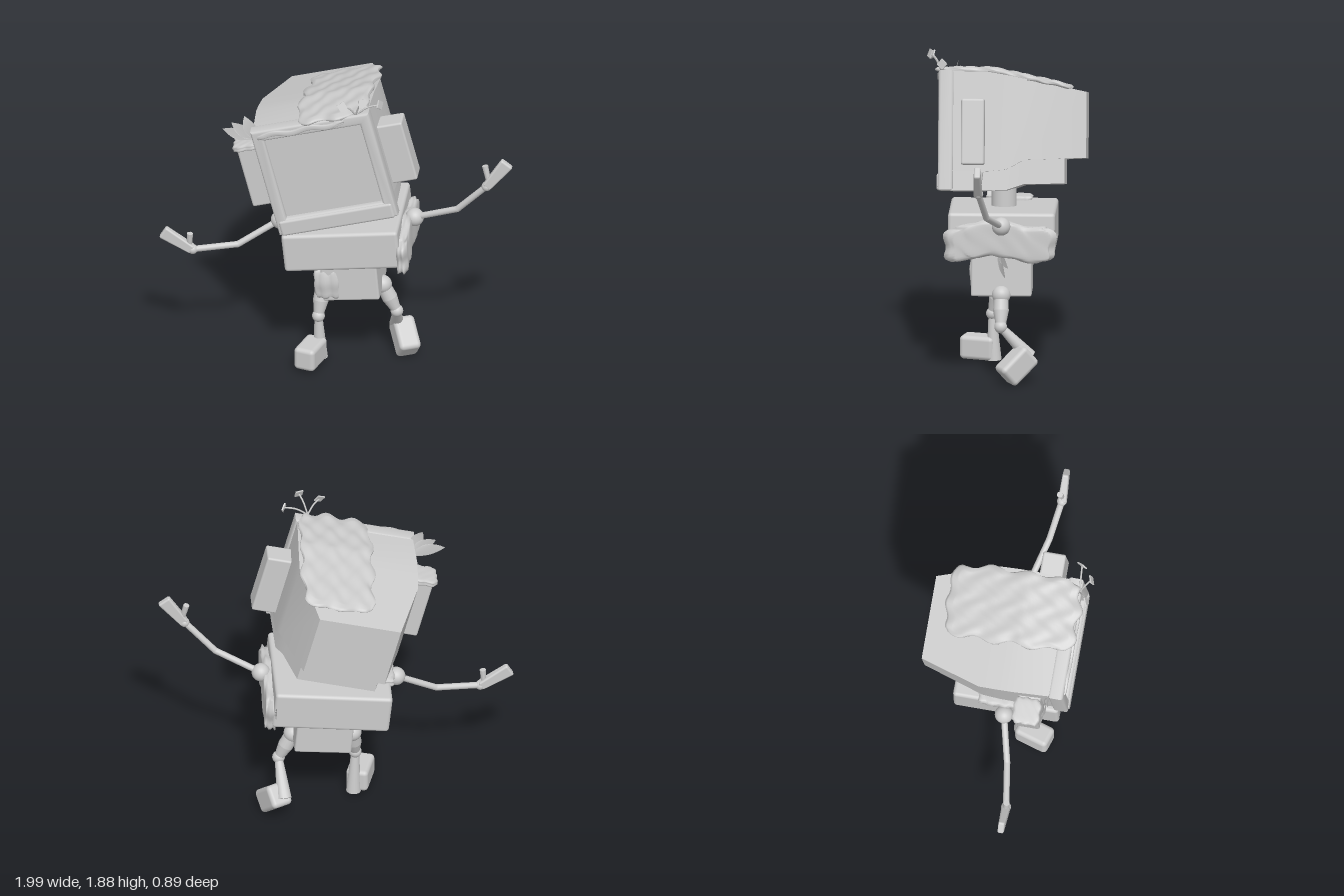
import * as THREE from 'three';
import { mergeVertices, toCreasedNormals } from 'three/addons/utils/BufferGeometryUtils.js';
import { RoundedBoxGeometry } from 'three/addons/geometries/RoundedBoxGeometry.js';

const mat = new THREE.MeshStandardMaterial({ color: 0xcccccc });
const thin = new THREE.MeshStandardMaterial({ color: 0xcccccc, side: THREE.DoubleSide });
const V = (a) => new THREE.Vector3(...a);

function add(parent, name, geo, pos = [0, 0, 0], rot = [0, 0, 0], material = mat) {
  const m = new THREE.Mesh(geo, material);
  m.name = name;
  m.position.set(...pos);
  m.rotation.set(...rot);
  parent.add(m);
  return m;
}

const block = (w, h, d, r = 0.02) => new RoundedBoxGeometry(w, h, d, 3, r);
const ball = (parent, name, pos, r) => add(parent, name, new THREE.SphereGeometry(r, 24, 16), pos);

// Tapered rod between two points
function rod(parent, name, a, b, ra, rb, sides = 16) {
  const A = V(a), B = V(b), dir = B.clone().sub(A);
  const m = add(parent, name, new THREE.CylinderGeometry(rb, ra, dir.length(), sides));
  m.position.copy(A).add(B).multiplyScalar(0.5);
  m.quaternion.setFromUnitVectors(new THREE.Vector3(0, 1, 0), dir.normalize());
  return m;
}

// Soft lumpy slab for moss; bend(v) may push the points afterwards
function mossGeometry(w, h, d, seed, bend, lump = 0.05) {
  const n = (s) => Math.max(6, Math.ceil(s / 0.018));
  let g = new THREE.BoxGeometry(2, 2, 2, n(w), n(h), n(d));
  g.deleteAttribute('uv');
  g.deleteAttribute('normal');
  g = mergeVertices(g);
  const p = g.attributes.position, v = new THREE.Vector3();
  for (let i = 0; i < p.count; i++) {
    v.fromBufferAttribute(p, i);
    const len = (v.x ** 6 + v.y ** 6 + v.z ** 6) ** (1 / 6);
    const k = 1 + lump * (Math.sin(v.x * 7 + v.z * 9 + seed) + Math.sin(v.y * 5 - v.z * 13 + seed * 2) * 0.6);
    v.multiplyScalar(k / len).multiply(new THREE.Vector3(w / 2, h / 2, d / 2));
    if (bend) bend(v);
    p.setXYZ(i, v.x, v.y, v.z);
  }
  g.computeVertexNormals();
  return g;
}

// Box swept along z through stations [z, halfWidth, bottom, top]
function loft(stations) {
  const n = stations.length - 1;
  const g = new THREE.BoxGeometry(2, 1, 1, 1, 1, n);
  const p = g.attributes.position;
  for (let i = 0; i < p.count; i++) {
    const [z, w, lo, hi] = stations[Math.round((0.5 - p.getZ(i)) * n)];
    p.setXYZ(i, p.getX(i) * w, p.getY(i) > 0 ? hi : lo, z);
  }
  return toCreasedNormals(g, 0.6);
}

// Pointed leaf growing along +y, slightly cupped
function leafGeometry(len, w) {
  const s = new THREE.Shape();
  s.quadraticCurveTo(w, len * 0.45, 0, len);
  s.quadraticCurveTo(-w, len * 0.45, 0, 0);
  const g = new THREE.ShapeGeometry(s, 10), p = g.attributes.position;
  for (let i = 0; i < p.count; i++) p.setZ(i, Math.abs(p.getX(i)) * 0.4);
  g.computeVertexNormals();
  return g;
}

function rectPath(path, x0, y0, x1, y1) {
  path.moveTo(x0, y0);
  path.lineTo(x1, y0);
  path.lineTo(x1, y1);
  path.lineTo(x0, y1);
  path.closePath();
  return path;
}

function buildHead() {
  const head = new THREE.Group();
  head.name = 'head';
  head.position.set(-0.04, 1.36, 0);
  head.rotation.z = 0.253;

  // Monitor shell and the recessed base beneath it
  add(head, 'headShell', loft([
    [0.31, 0.335, -0.235, 0.325], [0.1, 0.345, -0.235, 0.322], [0.0, 0.345, -0.225, 0.305],
    [-0.1, 0.343, -0.17, 0.285], [-0.445, 0.235, -0.155, 0.215]]));
  add(head, 'headBase', loft([
    [0.31, 0.32, -0.345, -0.1], [0.0, 0.315, -0.34, -0.1],
    [-0.1, 0.29, -0.305, -0.1], [-0.325, 0.225, -0.3, -0.1]]));

  // Screen frame
  const b = 0.015;
  const outline = rectPath(new THREE.Shape(), -0.345 + b, -0.34 + b, 0.345 - b, 0.33 - b);
  outline.holes.push(rectPath(new THREE.Path(), -0.28 - b, -0.24 - b, 0.28 + b, 0.265 + b));
  const frame = new THREE.ExtrudeGeometry(outline, {
    depth: 0.055, bevelEnabled: true, bevelSize: b, bevelThickness: b, bevelSegments: 3 });
  add(head, 'screenFrame', toCreasedNormals(frame, 0.6), [0, 0, 0.312]);
  add(head, 'frameLip', block(0.66, 0.095, 0.09, 0.015), [0, -0.296, 0.345]);
  add(head, 'screen', new THREE.BoxGeometry(0.58, 0.53, 0.04), [0, 0.01, 0.33]);

  // Side ears
  for (const s of [-1, 1]) add(head, 'ear', block(0.19, 0.37, 0.13, 0.012), [s * 0.385, -0.015, 0.185]);
  add(head, 'earMoss', mossGeometry(0.15, 0.04, 0.15, 2), [-0.425, 0.175, 0.185]);

  // Moss blanket draped over the roof
  const roof = (z) => z > 0.08 ? 0.326 : 0.326 - (0.08 - z) * 0.21;
  add(head, 'roofMoss', mossGeometry(0.41, 0.035, 0.74, 4, (v) => {
    const z = v.z + 0.015;
    v.x += 0.012 * Math.sin(z * 31);
    v.z = z + 0.012 * Math.sin(v.x * 40);
    v.y += roof(v.z) + 0.006 + 0.006 * Math.sin(v.x * 47) * Math.sin(z * 39);
  }, 0.02), [0.125, 0, 0]);
  add(head, 'frameMoss', mossGeometry(0.5, 0.03, 0.03, 1, (v) => {
    v.y += 0.008 * Math.sin(v.x * 30);
  }), [-0.06, 0.3, 0.38]);

  // Leaves on the upper corner
  [[0.16, 0.2], [0.17, 0.75], [0.2, 1.1]].forEach(([len, a], i) =>
    add(head, 'headLeaf', leafGeometry(len, 0.075), [-0.34, 0.24, 0.29 - i * 0.01], [0, 0, a], thin));
  return head;
}

// Sprouts with little square tips
function buildSprouts(parent) {
  [[0.07, 1.82, 0.42], [0.185, 1.855, 0.43], [0.275, 1.815, 0.36]].forEach((tip, i) => {
    const base = V([0.14, 1.75, 0.37]), end = V(tip);
    const mid = base.clone().lerp(end, 0.5).add(V([0, 0.015, 0]));
    add(parent, 'sproutStem', new THREE.TubeGeometry(new THREE.CatmullRomCurve3([base, mid, end]), 10, 0.005, 6));
    add(parent, 'sproutTip', new THREE.BoxGeometry(0.045, 0.045, 0.008), tip, [-0.4, [0.2, 0.3, 1.1][i], 0.6 - i * 0.45]);
  });
}

function buildArm(parent, shoulder, elbow, wrist, tip, thumbTip) {
  const arm = new THREE.Group();
  arm.name = 'arm';
  parent.add(arm);
  ball(arm, 'shoulder', shoulder, 0.052);
  rod(arm, 'upperArm', shoulder, elbow, 0.018, 0.018);
  ball(arm, 'elbow', elbow, 0.018);
  rod(arm, 'forearm', elbow, wrist, 0.018, 0.018);
  ball(arm, 'wrist', wrist, 0.028);
  // Mitten hand
  const W = V(wrist), dir = V(tip).sub(W), len = dir.length();
  const g = block(0.075, len, 0.05, 0.012), p = g.attributes.position;
  for (let i = 0; i < p.count; i++) {
    const t = p.getY(i) / len + 0.5;
    p.setX(i, p.getX(i) * (0.65 + 0.4 * t));
    p.setZ(i, p.getZ(i) * (1 - 0.3 * t) + 0.012 * Math.sin(t * 3));
  }
  const hand = add(arm, 'hand', g, W.clone().lerp(V(tip), 0.5).toArray());
  hand.rotation.z = Math.atan2(-dir.x, dir.y);
  rod(arm, 'thumb', W.clone().lerp(V(tip), 0.12).toArray(), thumbTip, 0.014, 0.018, 8);
}

function buildLeg(parent, hip, knee, ankle, footPos, footRot) {
  const leg = new THREE.Group();
  leg.name = 'leg';
  parent.add(leg);
  ball(leg, 'hip', hip, 0.052);
  const mid = V(hip).lerp(V(knee), 0.5).toArray();
  rod(leg, 'upperThigh', hip, mid, 0.04, 0.044);
  rod(leg, 'lowerThigh', mid, knee, 0.044, 0.026);
  ball(leg, 'knee', knee, 0.036);
  rod(leg, 'shin', knee, ankle, 0.022, 0.042);
  // Blocky boot
  add(leg, 'foot', block(0.125, 0.135, 0.2, 0.025), footPos, footRot).rotation.order = 'YXZ';
}

export function createModel() {
  const model = new THREE.Group();
  model.name = 'robot';
  model.add(buildHead());
  buildSprouts(model);
  rod(model, 'neck', [0.04, 0.9, 0.02], [0.03, 1.06, 0.02], 0.07, 0.07, 24);

  // Chest with moss on both ends
  add(model, 'chest', block(0.66, 0.23, 0.6, 0.02), [0.05, 0.83, 0.025], [0, 0, 0.105]);
  add(model, 'sideMoss', mossGeometry(0.07, 0.2, 0.6, 3, (v) => {
    v.y += 0.02 * Math.sin(v.z * 13 + 1);
  }), [0.39, 0.825, 0.03], [0, 0, 0.06]);
  add(model, 'shoulderMoss', mossGeometry(0.15, 0.05, 0.22, 5), [-0.235, 0.915, -0.02], [0, 0, 0.1]);

  // Pelvis with moss patch and hanging leaves
  add(model, 'pelvis', block(0.32, 0.32, 0.34, 0.012), [0.08, 0.615, 0.03], [0, 0, 0.09]);
  add(model, 'pelvisMoss', mossGeometry(0.15, 0.18, 0.2, 7), [-0.04, 0.545, 0.11], [0, 0, 0.09]);
  [[0.17, -2.7], [0.14, -2.25]].forEach(([len, a]) =>
    add(model, 'hipLeaf', leafGeometry(len, 0.06), [0.24, 0.74, 0.04], [0, 0.5, a], thin));

  // Limbs
  buildArm(model, [0.43, 0.92, 0.025], [0.68, 1.03, 0.1], [0.85, 1.21, 0.14], [0.968, 1.367, 0.14], [0.84, 1.335, 0.13]);
  buildArm(model, [-0.33, 0.85, 0.025], [-0.56, 0.71, 0.085], [-0.81, 0.683, 0.125], [-0.98, 0.785, 0.12], [-0.825, 0.785, 0.13]);
  buildLeg(model, [0.25, 0.48, 0.03], [0.33, 0.315, 0.03], [0.31, 0.14, -0.13], [0.365, 0.105, -0.06], [0.72, 0.45, 0]);
  buildLeg(model, [-0.085, 0.46, 0.04], [-0.105, 0.285, 0.09], [-0.095, 0.02, 0.08], [-0.14, 0.085, 0.165], [0, -0.3, 0]);
  return model;
}
